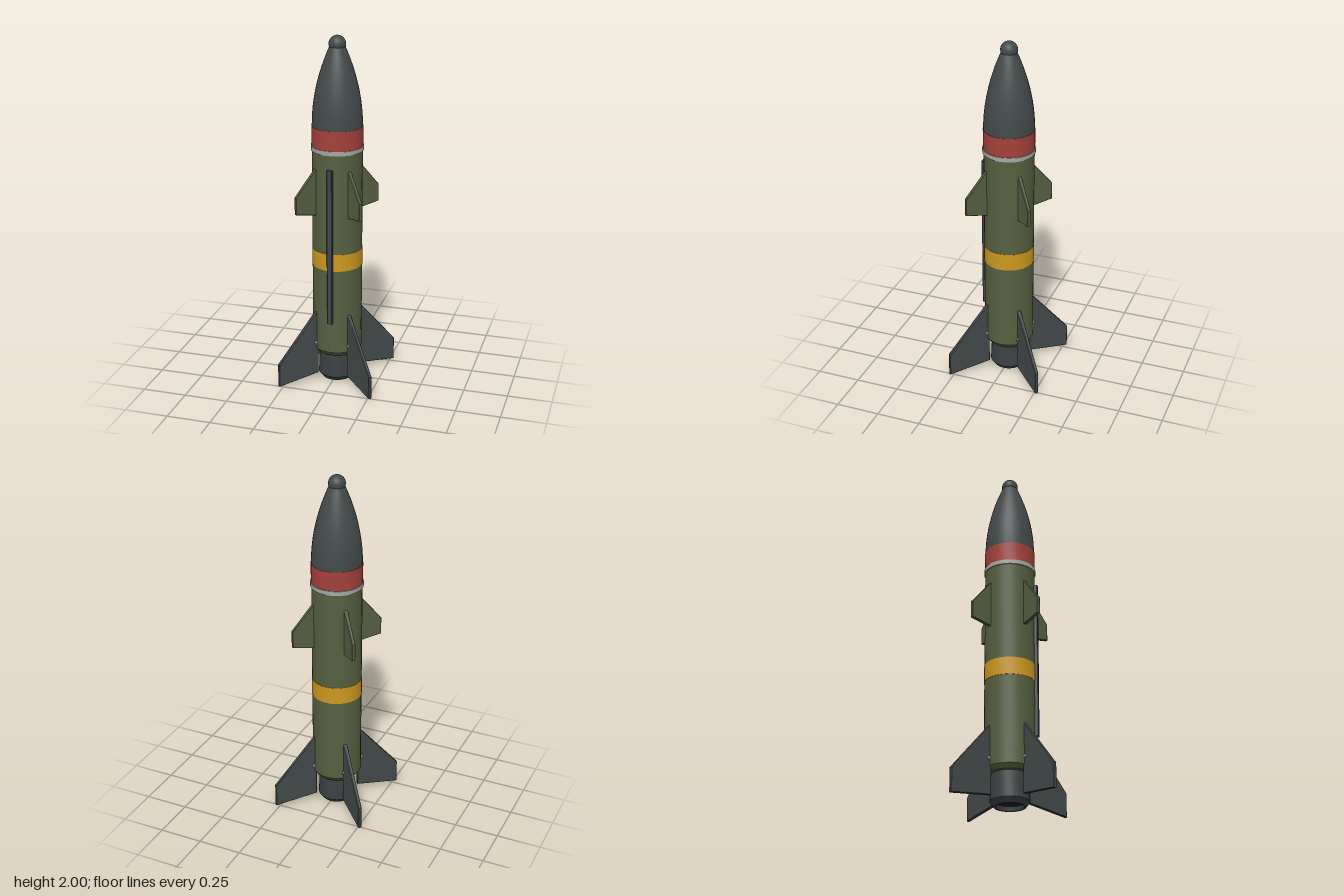
import * as THREE from 'three';
import { toCreasedNormals } from 'three/addons/utils/BufferGeometryUtils.js';

const SEGMENTS = 32;

function material(name, color) {
  const m = new THREE.MeshStandardMaterial({ color });
  m.name = name;
  return m;
}

export function createModel() {
  const olive = material('olive paint', 0x556040);
  const grey = material('dark grey', 0x434a4a);
  const conduitGrey = material('conduit grey', 0x40454b);
  const nozzleGrey = material('nozzle grey', 0x3c4143);
  const soot = material('soot black', 0x1c1f20);
  const red = material('red band', 0xa4413a);
  const yellow = material('yellow band', 0xcd991f);
  const silver = material('silver metal', 0xa6a8a3);

  const model = new THREE.Group();
  model.name = 'rocket';

  function add(name, geometry, mat, parent = model) {
    const mesh = new THREE.Mesh(geometry, mat);
    mesh.name = name;
    parent.add(mesh);
    return mesh;
  }

  // Turned part from [radius, height] pairs, listed from bottom to top
  function turned(name, profile, mat) {
    const points = profile.map(([r, y]) => new THREE.Vector2(r, y));
    const geometry = new THREE.LatheGeometry(points, SEGMENTS);
    return add(name, toCreasedNormals(geometry, 0.5), mat);
  }

  // Body tube with a chamfered tail
  turned('body', [[0, 0.175], [0.122, 0.175], [0.14, 0.2], [0.14, 1.38], [0, 1.38]], olive);

  // Painted bands and the joint ring
  turned('yellowBand', [[0.139, 0.7], [0.142, 0.7], [0.142, 0.8], [0.139, 0.8]], yellow);
  turned('redBand', [[0, 1.385], [0.142, 1.385], [0.142, 1.505], [0, 1.505]], red);
  turned('jointRing', [[0.13, 1.37], [0.146, 1.37], [0.146, 1.395], [0.13, 1.395]], silver);

  // Ogive nose and its rounded tip
  const nose = [];
  for (let i = 0; i <= 16; i++) {
    const t = i / 16;
    nose.push([0.14 - 0.097 * t * t, 1.5 + 0.44 * t]);
  }
  turned('noseCone', nose, grey);
  add('noseTip', new THREE.SphereGeometry(0.047, 24, 16), grey).position.y = 1.953;

  // Nozzle, hollow at the bottom
  turned('nozzle', [
    [0.072, 0.03], [0.076, 0], [0.086, 0], [0.107, 0.028], [0.1, 0.178],
  ], nozzleGrey);
  const throat = add('nozzleThroat', new THREE.CircleGeometry(0.075, SEGMENTS), soot);
  throat.rotation.x = Math.PI / 2;
  throat.position.y = 0.025;

  // Cable conduit along the front
  const conduitShape = new THREE.Shape([
    [-0.016, -0.02], [0.016, -0.02], [0.016, 0.016], [0.012, 0.02], [-0.012, 0.02], [-0.016, 0.016],
  ].map(([x, y]) => new THREE.Vector2(x, y)));
  const conduitGeometry = new THREE.ExtrudeGeometry(conduitShape, { depth: 0.905, bevelEnabled: false });
  conduitGeometry.rotateX(-Math.PI / 2);
  conduitGeometry.scale(1, 1, -1);
  // Mirrored in z, then turned back so the faces keep pointing outward
  conduitGeometry.scale(1, 1, -1);
  conduitGeometry.rotateY(Math.PI);
  add('conduit', conduitGeometry, conduitGrey).position.set(0, 0.385, 0.139);

  // Thin fin with bevelled edges, outlined as [distance from axis, height]
  function finGeometry(outline) {
    const shape = new THREE.Shape(outline.map(([r, y]) => new THREE.Vector2(r, y)));
    const geometry = new THREE.ExtrudeGeometry(shape, {
      depth: 0.014, bevelEnabled: true, bevelThickness: 0.003,
      bevelSize: 0.003, bevelOffset: -0.003, bevelSegments: 1,
    });
    return geometry.translate(0, 0, -0.007);
  }
  const tailFin = finGeometry([[0.128, 0.042], [0.38, 0.01], [0.38, 0.145], [0.128, 0.44]]);
  const upperFin = finGeometry([[0.128, 1.006], [0.262, 1.03], [0.262, 1.128], [0.128, 1.29]]);
  const bolt = new THREE.CylinderGeometry(0.009, 0.009, 0.036, 12);
  bolt.rotateX(Math.PI / 2);

  // Four sets of fins on the diagonals
  for (let i = 0; i < 4; i++) {
    const set = new THREE.Group();
    set.name = 'finSet' + (i + 1);
    set.rotation.y = Math.PI / 4 + i * Math.PI / 2;
    add('tailFin', tailFin, grey, set);
    add('upperFin', upperFin, olive, set);
    add('finBolt', bolt, silver, set).position.set(0.148, 0.24, 0);
    model.add(set);
  }
  return model;
}
